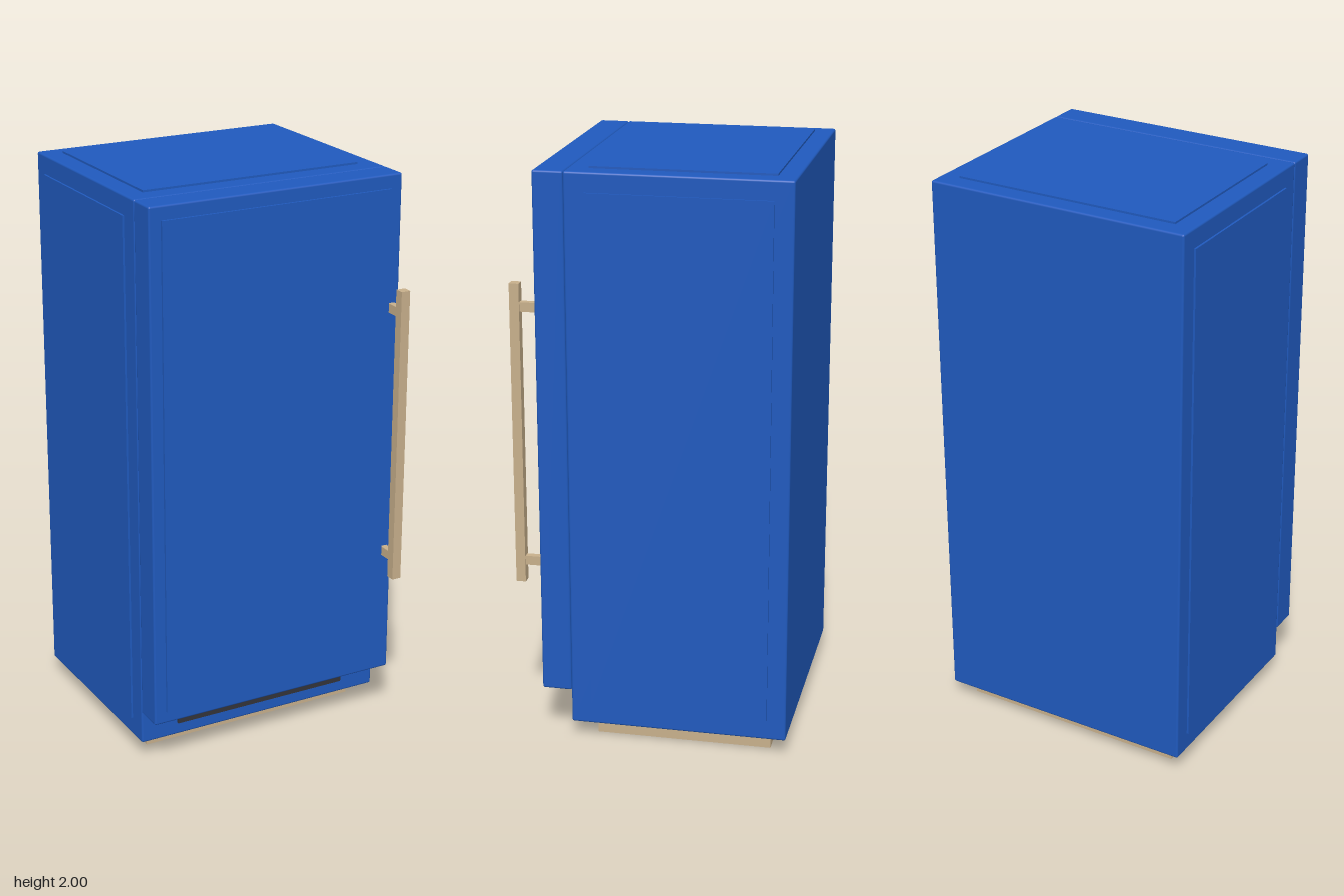
import * as THREE from 'three';
import { RoundedBoxGeometry } from 'three/addons/geometries/RoundedBoxGeometry.js';

const blue = new THREE.MeshStandardMaterial({ color: 0x205abe });
const tan = new THREE.MeshStandardMaterial({ color: 0xc8b08c });
const dark = new THREE.MeshStandardMaterial({ color: 0x33333a });

// Box given by its extents on each axis; a bevel above 0 softens the edges
function block(name, material, [x0, x1], [y0, y1], [z0, z1], bevel = 0) {
  const size = [x1 - x0, y1 - y0, z1 - z0];
  const geometry = bevel
    ? new RoundedBoxGeometry(...size, 2, bevel)
    : new THREE.BoxGeometry(...size);
  const mesh = new THREE.Mesh(geometry, material);
  mesh.name = name;
  mesh.position.set((x0 + x1) / 2, (y0 + y1) / 2, (z0 + z1) / 2);
  return mesh;
}

export function createModel() {
  const fridge = new THREE.Group();
  fridge.name = 'refrigerator';

  // Cabinet on a recessed plinth
  fridge.add(
    block('plinth', tan, [-0.41, 0.41], [0, 0.08], [-0.41, 0.2]),
    block('cabinet', blue, [-0.467, 0.467], [0.06, 1.993], [-0.47, 0.279], 0.007),
    block('ventGrille', dark, [-0.33, 0.33], [0.106, 0.138], [0.26, 0.289]),
  );

  // Raised panels on the top and both sides
  fridge.add(block('topPanel', blue, [-0.4, 0.4], [1.97, 2], [-0.405, 0.21]));
  for (const [name, x] of [['leftPanel', 0.462], ['rightPanel', -0.462]]) {
    fridge.add(block(name, blue, [x - 0.012, x + 0.012], [0.127, 1.927], [-0.405, 0.21]));
  }

  // Door with a raised front panel
  const door = new THREE.Group();
  door.name = 'door';
  door.add(
    block('doorSlab', blue, [-0.467, 0.467], [0.178, 1.993], [0.279, 0.382], 0.007),
    block('doorPanel', blue, [-0.424, 0.424], [0.222, 1.945], [0.37, 0.39]),
  );

  // Upright handle bar on two posts
  const handle = new THREE.Group();
  handle.name = 'handle';
  handle.add(block('handleBar', tan, [0.421, 0.454], [0.565, 1.613], [0.437, 0.47]));
  for (const y of [0.642, 1.534]) {
    handle.add(block('handlePost', tan, [0.426, 0.449], [y - 0.016, y + 0.016], [0.37, 0.445]));
  }
  door.add(handle);
  fridge.add(door);

  return fridge;
}
